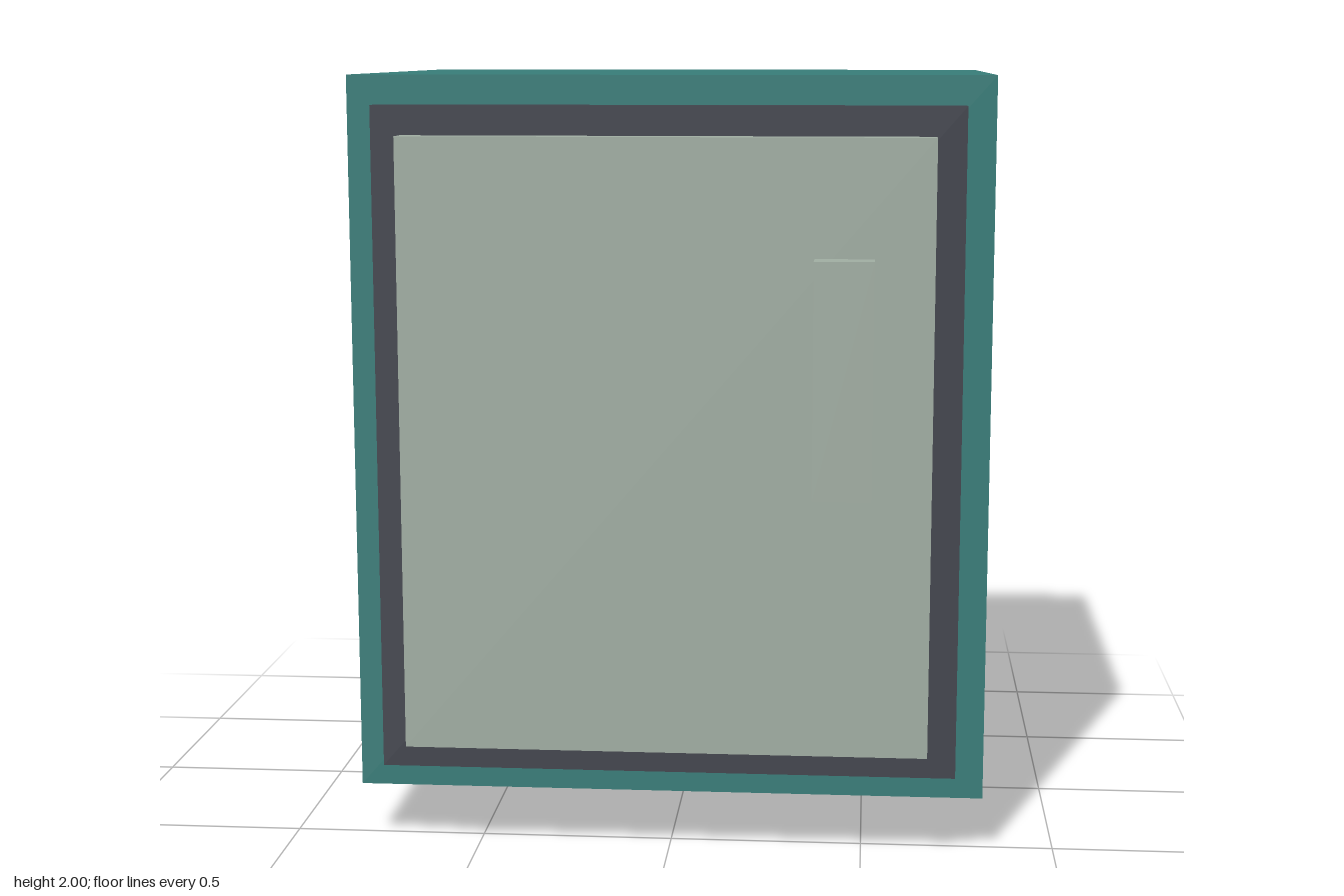
import * as THREE from 'three';

const teal = new THREE.MeshStandardMaterial({ color: 0x387d79 });
const dark = new THREE.MeshStandardMaterial({ color: 0x41444d });
const sage = new THREE.MeshStandardMaterial({ color: 0xa1aea3 });

// Box given by its extents on each axis
function box(name, material, [x0, x1], [y0, y1], [z0, z1]) {
  const mesh = new THREE.Mesh(new THREE.BoxGeometry(x1 - x0, y1 - y0, z1 - z0), material);
  mesh.position.set((x0 + x1) / 2, (y0 + y1) / 2, (z0 + z1) / 2);
  mesh.name = name;
  return mesh;
}

export function createModel() {
  const model = new THREE.Group();
  model.name = 'cabinet';

  // Cabinet body
  model.add(box('body', teal, [-0.813, 0.813], [0.15, 2], [-0.778, 0.556]));

  // Stepped front: dark surround, door panel, handle
  model.add(box('doorSurround', dark, [-0.739, 0.739], [0.225, 1.926], [0.556, 0.63]));
  model.add(box('door', sage, [-0.665, 0.665], [0.299, 1.852], [0.63, 0.704]));
  model.add(box('handle', sage, [0.37, 0.517], [0.968, 1.558], [0.704, 0.778]));

  // One foot under each side
  for (const [name, x] of [['leftFoot', 0.628], ['rightFoot', -0.628]]) {
    model.add(box(name, dark, [x - 0.11, x + 0.11], [0, 0.15], [-0.258, 0.037]));
  }

  return model;
}
